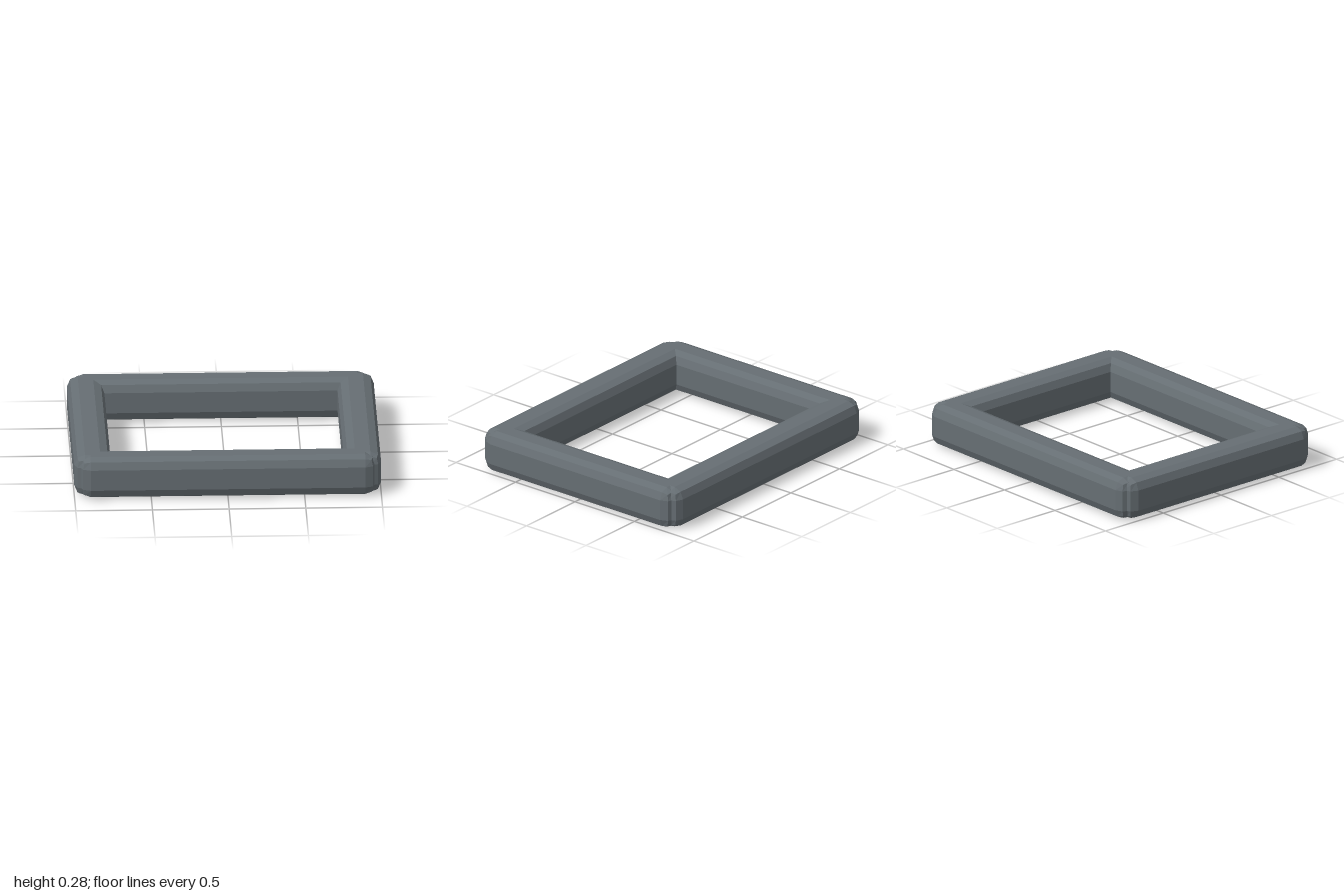
import * as THREE from 'three';
import { RoundedBoxGeometry } from 'three/addons/geometries/RoundedBoxGeometry.js';

export function createModel() {
  const group = new THREE.Group();
  group.name = 'frame';

  const metal = new THREE.MeshStandardMaterial({ color: 0x666e73, flatShading: true });
  metal.name = 'grey metal';

  const height = 0.28, width = 0.24, bevel = 0.07;

  // One bar with two-facet bevelled edges
  function addBar(name, sizeX, sizeZ, x, z) {
    const bar = new THREE.Mesh(new RoundedBoxGeometry(sizeX, height, sizeZ, 1, bevel), metal);
    bar.name = name;
    bar.position.set(x, height / 2, z);
    group.add(bar);
  }

  // Long bars at front and back, short bars at the sides; ends stop short of the outer corners
  for (const s of [1, -1]) {
    addBar(s > 0 ? 'frontBar' : 'backBar', 1.93, width, 0, s * 0.703);
    addBar(s > 0 ? 'leftBar' : 'rightBar', width, 1.57, s * 0.88, 0);
  }
  return group;
}
